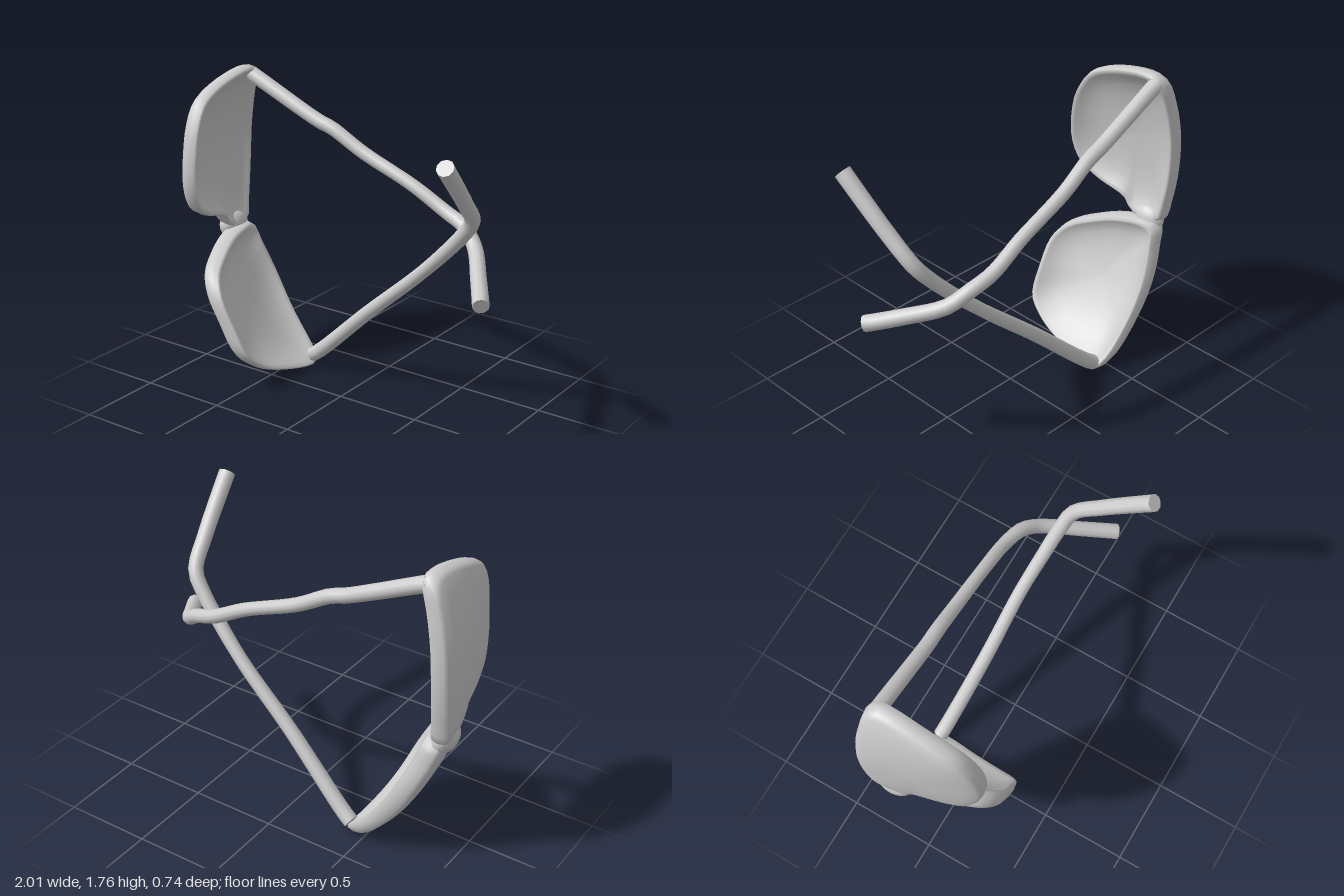
import * as THREE from 'three';
import { toCreasedNormals } from 'three/addons/utils/BufferGeometryUtils.js';

const material = new THREE.MeshStandardMaterial({ color: 0xcccccc });

// Shell section from the inside centre, round the rim, to the outside centre: [scale, depth]
const SECTION = [
  [0.001, 0.095], [0.3, 0.092], [0.55, 0.08], [0.72, 0.06], [0.83, 0.038], [0.9, 0.016], [0.945, 0.003], [0.98, 0.012],
  [1, 0.05], [0.985, 0.09], [0.94, 0.11], [0.8, 0.126], [0.55, 0.14], [0.3, 0.146], [0.001, 0.148],
];

// Lens with rim: outline is [z, y]; the rear edge follows the line from the temple end to the nose end ([x, y])
function lens(name, outline, outer, nose, stretch) {
  const n = 56;
  const curve = new THREE.CatmullRomCurve3(outline.map(([z, y]) => new THREE.Vector3(0, y, z)), true, 'centripetal');
  const ring = curve.getSpacedPoints(n).slice(0, n);
  const cy = (outer[1] + nose[1]) / 2, cz = -0.04;
  const pos = [], index = [];
  SECTION.forEach(([s, depth], i) => {
    ring.forEach((p, j) => {
      const y = cy + (p.y - cy) * s, z = cz + (p.z - cz) * s;
      const u = THREE.MathUtils.clamp((y - outer[1]) / (nose[1] - outer[1]), 0, 1);
      const line = THREE.MathUtils.lerp(outer[0], nose[0], u);
      // the brow bows forward and stays forward at the nose; the lower edge tucks back
      const arch = 1 - (u < 0.5 ? 1 : 0.4) * (2 * u - 1) ** 2;
      const brow = THREE.MathUtils.clamp((0.28 - z) / 0.6, 0, 1);
      const bow = arch * THREE.MathUtils.lerp(-0.04, 0.088, brow);
      pos.push(line - stretch * (bow + depth), y, z);
      if (i < SECTION.length - 1) {
        const k = (j + 1) % n, a = i * n + j, b = a + n, c = (i + 1) * n + k, d = i * n + k;
        index.push(a, c, b, a, d, c);
      }
    });
  });
  const g = new THREE.BufferGeometry();
  g.setAttribute('position', new THREE.Float32BufferAttribute(pos, 3));
  g.setIndex(index);
  g.computeVertexNormals();
  const mesh = new THREE.Mesh(g, material);
  mesh.name = name;
  return mesh;
}

// Temple arm: a tapering tube with flat ends
function temple(name, points, r0, r1, r2) {
  const segs = 44, sides = 10;
  const path = new THREE.CatmullRomCurve3(points.map(p => new THREE.Vector3(...p)), false, 'centripetal');
  const g = new THREE.TubeGeometry(path, segs, 1, sides, false);
  const p = g.attributes.position, v = new THREE.Vector3();
  for (let i = 0; i <= segs; i++) {
    const t = i / segs, centre = path.getPointAt(t);
    const r = t < 0.5 ? THREE.MathUtils.lerp(r0, r1, t * 2) : THREE.MathUtils.lerp(r1, r2, t * 2 - 1);
    for (let j = 0; j <= sides; j++) {
      const k = i * (sides + 1) + j;
      v.fromBufferAttribute(p, k).sub(centre).multiplyScalar(r).add(centre);
      p.setXYZ(k, v.x, v.y, v.z);
    }
  }
  // collapse the end rings into caps
  for (const [end, next] of [[0, 1], [segs, segs - 1]]) {
    const c = path.getPointAt(next / segs);
    for (let j = 0; j <= sides; j++) p.setXYZ(end * (sides + 1) + j, c.x, c.y, c.z);
  }
  const mesh = new THREE.Mesh(toCreasedNormals(g, 0.9), material);
  mesh.name = name;
  return mesh;
}

export function createModel() {
  const group = new THREE.Group();
  group.name = 'sunglasses';

  group.add(lens('upperLens', [
    [-0.22, 1.765], [-0.32, 1.74], [-0.355, 1.57], [-0.37, 1.3], [-0.36, 1.1], [-0.335, 0.93], [-0.3, 0.8],
    [-0.12, 0.81], [-0.07, 0.88], [0.12, 0.95], [0.24, 1.03], [0.3, 1.18], [0.29, 1.4], [0.25, 1.53], [0.16, 1.65],
  ], [-0.795, 1.75], [-0.84, 0.82], 0.94));

  group.add(lens('lowerLens', [
    [-0.1, 0.795], [-0.3, 0.795], [-0.335, 0.67], [-0.365, 0.5], [-0.365, 0.28], [-0.335, 0.05], [-0.28, 0.005],
    [0.06, 0.07], [0.2, 0.14], [0.285, 0.23], [0.305, 0.4], [0.3, 0.56], [0.24, 0.655], [0.1, 0.73],
  ], [-0.365, 0.01], [-0.785, 0.79], 1.1));

  // Nose bridge, blending into both frames
  const bridge = new THREE.Mesh(new THREE.SphereGeometry(1, 20, 14), material);
  bridge.name = 'bridge';
  bridge.position.set(-0.93, 0.795, -0.205);
  bridge.scale.set(0.065, 0.085, 0.105);
  bridge.rotation.z = 0.2;
  group.add(bridge);

  group.add(temple('upperTemple', [
    [-0.88, 1.73, -0.28], [-0.78, 1.685, -0.285], [-0.36, 1.495, -0.3], [-0.28, 1.47, -0.305], [-0.08, 1.36, -0.32],
    [0.25, 1.225, -0.33], [0.46, 1.115, -0.335], [0.6, 1.06, -0.31], [0.7, 0.985, -0.25], [0.84, 0.895, -0.06],
    [0.985, 0.81, 0.15],
  ], 0.045, 0.037, 0.046));

  group.add(temple('lowerTemple', [
    [-0.45, 0.03, -0.285], [-0.37, 0.08, -0.275], [0.04, 0.46, -0.22], [0.38, 0.765, -0.19], [0.57, 0.95, -0.155],
    [0.7, 1.09, -0.125], [0.775, 1.19, -0.09], [0.815, 1.34, 0.06], [0.865, 1.64, 0.37],
  ], 0.045, 0.038, 0.048));

  return group;
}
